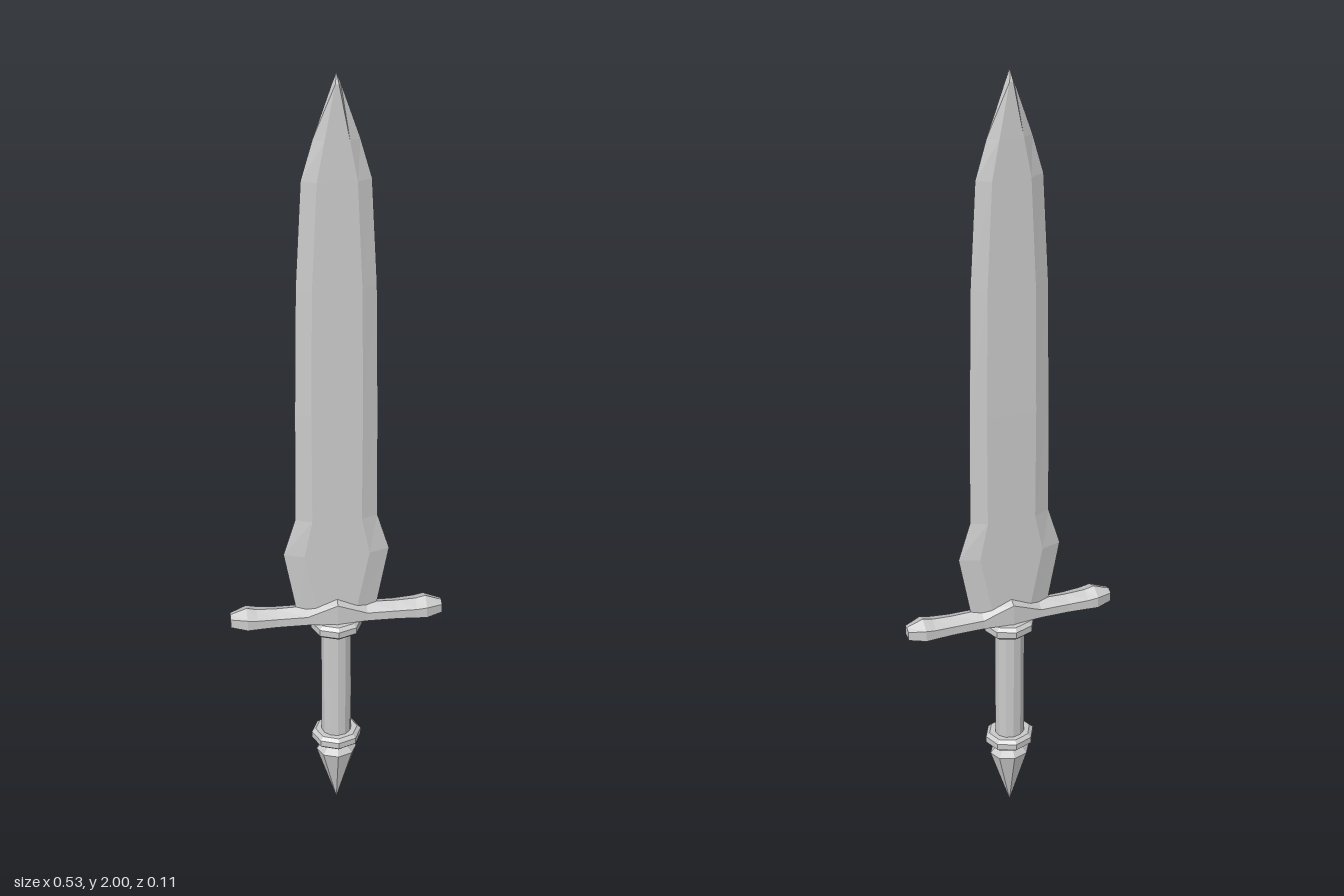
import * as THREE from 'three';

const material = new THREE.MeshStandardMaterial({ color: 0xcccccc, flatShading: true });

function addMesh(group, name, geometry) {
  const mesh = new THREE.Mesh(geometry, material);
  mesh.name = name;
  group.add(mesh);
  return mesh;
}

// Skin a list of equal-length rings of [x, y, z] and cap both ends
function loft(rings) {
  const n = rings[0].length;
  const pos = [];
  const tri = (a, b, c) => pos.push(...a, ...b, ...c);
  for (let r = 0; r < rings.length - 1; r++) {
    const lo = rings[r], hi = rings[r + 1];
    for (let i = 0; i < n; i++) {
      const j = (i + 1) % n;
      tri(lo[j], lo[i], hi[i]);
      tri(lo[j], hi[i], hi[j]);
    }
  }
  const first = rings[0], last = rings[rings.length - 1];
  for (let i = 1; i < n - 1; i++) {
    tri(first[0], first[i], first[i + 1]);
    tri(last[0], last[i + 1], last[i]);
  }
  const geometry = new THREE.BufferGeometry();
  geometry.setAttribute('position', new THREE.Float32BufferAttribute(pos, 3));
  geometry.computeVertexNormals();
  return geometry;
}

// Turned part from [radius, y] pairs, slightly flattened front to back
function turned(profile, sides, depth) {
  const points = profile.map(([r, y]) => new THREE.Vector2(r, y));
  return new THREE.LatheGeometry(points, sides).scale(1, 1, depth);
}

export function createModel() {
  const sword = new THREE.Group();
  sword.name = 'sword';

  // Blade: six-sided sections [y, half width, half width of flat, half thickness]
  const bladeSections = [
    [0.62, 0.097, 0.045, 0.016],
    [0.81, 0.13, 0.08, 0.016],
    [0.91, 0.1, 0.06, 0.016],
    [1.2, 0.097, 0.06, 0.016],
    [1.52, 0.091, 0.056, 0.016],
    [1.77, 0.077, 0.044, 0.016],
    [1.86, 0.051, 0.027, 0.015],
    [1.98, 0.009, 0.004, 0.013],
    [2.0, 0.001, 0.0005, 0.005],
  ];
  addMesh(sword, 'blade', loft(bladeSections.map(([y, w, f, t]) => [
    [w, y, 0], [f, y, t], [-f, y, t], [-w, y, 0], [-f, y, -t], [f, y, -t],
  ])));

  // Crossguard: ridged sections [x, ridge y, shoulder y, half depth], mirrored
  const guardHalf = [
    [0, 0.682, 0.668, 0.034],
    [0.075, 0.65, 0.635, 0.028],
    [0.15, 0.648, 0.635, 0.028],
    [0.2, 0.65, 0.637, 0.031],
    [0.225, 0.656, 0.641, 0.033],
    [0.266, 0.64, 0.635, 0.015],
  ];
  const guardSections = [
    ...guardHalf.slice(1).reverse().map(([x, ...rest]) => [-x, ...rest]),
    ...guardHalf,
  ];
  const guardBottom = 0.611;
  addMesh(sword, 'crossguard', loft(guardSections.map(([x, ridge, shoulder, z]) => [
    [x, shoulder, z], [x, ridge, 0], [x, shoulder, -z],
    [x, guardBottom, -z], [x, guardBottom, z],
  ])));

  // Grip
  addMesh(sword, 'grip', turned([[0.039, 0.22], [0.039, 0.615]], 12, 0.88));

  // Collars above and below the grip
  for (const [name, y] of [['upperCollar', 0.592], ['lowerCollar', 0.228]]) {
    const collar = turned([
      [0, -0.018], [0.055, -0.018], [0.065, -0.009],
      [0.065, 0.009], [0.055, 0.018], [0, 0.018],
    ], 8, 0.87);
    addMesh(sword, name, collar).position.y = y;
  }

  // Pommel: faceted spike with a short neck
  addMesh(sword, 'pommel', turned([
    [0, 0], [0.053, 0.178], [0.03, 0.204], [0.03, 0.216], [0, 0.216],
  ], 8, 0.8));

  return sword;
}
